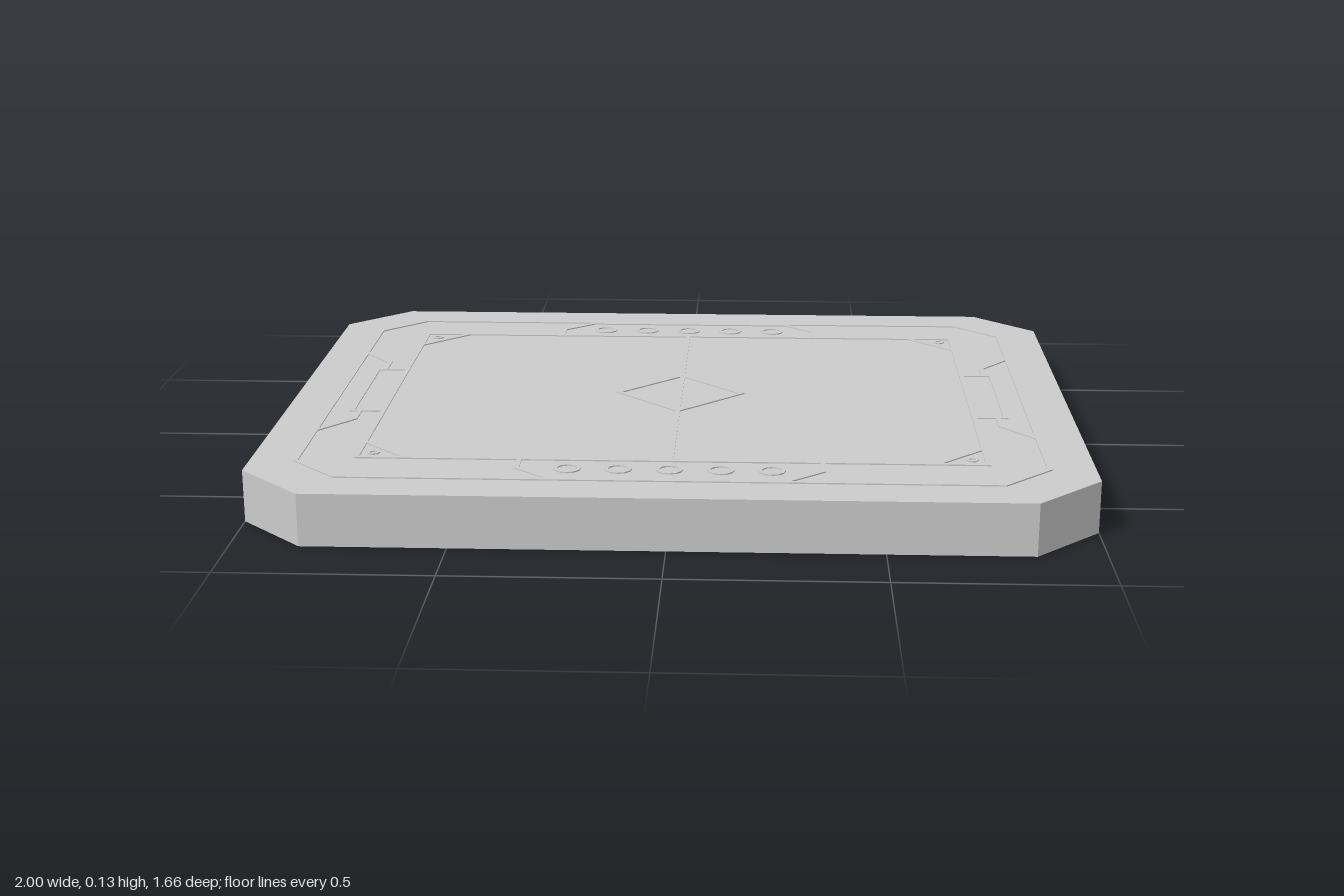
import * as THREE from 'three';

const SLAB_TOP = 0.127;
const LINE_HEIGHT = 0.003;
const LINE_WIDTH = 0.012;

const material = new THREE.MeshStandardMaterial({ color: 0xcccccc, flatShading: true });

// Lay a plan shape (x, -z) flat and give it a thickness upwards from y.
function slab(name, shape, y, height) {
  const geometry = new THREE.ExtrudeGeometry(shape, { depth: height, bevelEnabled: false });
  geometry.rotateX(-Math.PI / 2);
  geometry.translate(0, y, 0);
  const mesh = new THREE.Mesh(geometry, material);
  mesh.name = name;
  return mesh;
}

// Offset a path sideways with mitred corners.
function offsetPath(points, distance, closed) {
  const n = points.length;
  return points.map((p, i) => {
    const prev = closed || i > 0 ? points[(i - 1 + n) % n] : null;
    const next = closed || i < n - 1 ? points[(i + 1) % n] : null;
    const a = (prev ? p.clone().sub(prev) : next.clone().sub(p)).normalize();
    const b = (next ? next.clone().sub(p) : a.clone()).normalize();
    const na = new THREE.Vector2(-a.y, a.x);
    const nb = new THREE.Vector2(-b.y, b.x);
    const miter = na.clone().add(nb).normalize();
    return p.clone().addScaledVector(miter, distance / miter.dot(na));
  });
}

// Thin inlaid line following a path of [x, y] plan points.
function inlay(name, path, closed = true, width = LINE_WIDTH) {
  const points = path.map(([x, y]) => new THREE.Vector2(x, y));
  const left = offsetPath(points, width / 2, closed);
  const right = offsetPath(points, -width / 2, closed);
  let shape;
  if (closed) {
    const ccw = THREE.ShapeUtils.area(points) > 0;
    shape = new THREE.Shape(ccw ? right : left);
    shape.holes.push(new THREE.Path(ccw ? left : right));
  } else {
    shape = new THREE.Shape([...left, ...right.reverse()]);
  }
  return slab(name, shape, SLAB_TOP, LINE_HEIGHT);
}

// Rectangle with cut corners.
function octagon(w, d, cut) {
  return [
    [w - cut, -d], [w, -d + cut], [w, d - cut], [w - cut, d],
    [-w + cut, d], [-w, d - cut], [-w, -d + cut], [-w + cut, -d],
  ];
}

function circle(x, y, radius, sides) {
  return Array.from({ length: sides }, (_, i) => {
    const a = (i / sides) * Math.PI * 2;
    return [x + radius * Math.cos(a), y + radius * Math.sin(a)];
  });
}

export function createModel() {
  const model = new THREE.Group();
  model.name = 'gameBoard';

  // Board body
  const outline = octagon(1, 0.83, 0.16).map(([x, y]) => new THREE.Vector2(x, y));
  model.add(slab('board', new THREE.Shape(outline), 0, SLAB_TOP));

  // Border line, playing field, centre line and centre diamond
  model.add(inlay('borderLine', octagon(0.89, 0.71, 0.115)));
  model.add(inlay('fieldFrame', [[-0.75, -0.565], [0.75, -0.565], [0.75, 0.565], [-0.75, 0.565]]));
  model.add(inlay('centreLine', [[0, -0.56], [0, 0.56]], false));
  model.add(inlay('centreDiamond', circle(0, 0, 0.16, 4)));

  // Triangle and stud in each corner of the field
  for (const sx of [-1, 1]) {
    for (const sy of [-1, 1]) {
      model.add(inlay('cornerLine', [[sx * 0.63, sy * 0.565], [sx * 0.75, sy * 0.445]], false));
      model.add(inlay('cornerStud', circle(sx * 0.715, sy * 0.53, 0.012, 8), true, 0.006));
    }
  }

  for (const s of [-1, 1]) {
    // Counter track with five rings along each long side
    const track = [[-0.36, 0.565], [-0.36, 0.63], [-0.28, 0.7], [0.28, 0.7], [0.36, 0.63], [0.36, 0.565]];
    model.add(inlay('counterTrack', track.map(([x, y]) => [x, s * y]), false));
    for (let i = -2; i <= 2; i++) {
      model.add(inlay('counterRing', circle(i * 0.12, s * 0.63, 0.028, 12), true, 0.008));
    }

    // Card slot and its brackets on each short side
    const slot = [[0.75, -0.19], [0.83, -0.19], [0.83, 0.19], [0.75, 0.19]];
    model.add(inlay('cardSlot', slot.map(([x, y]) => [s * x, y]), false));
    for (const t of [-1, 1]) {
      const bracket = [[0.89, 0.36], [0.81, 0.26], [0.81, 0.19]];
      model.add(inlay('slotBracket', bracket.map(([x, y]) => [s * x, t * y]), false));
    }
  }

  return model;
}
